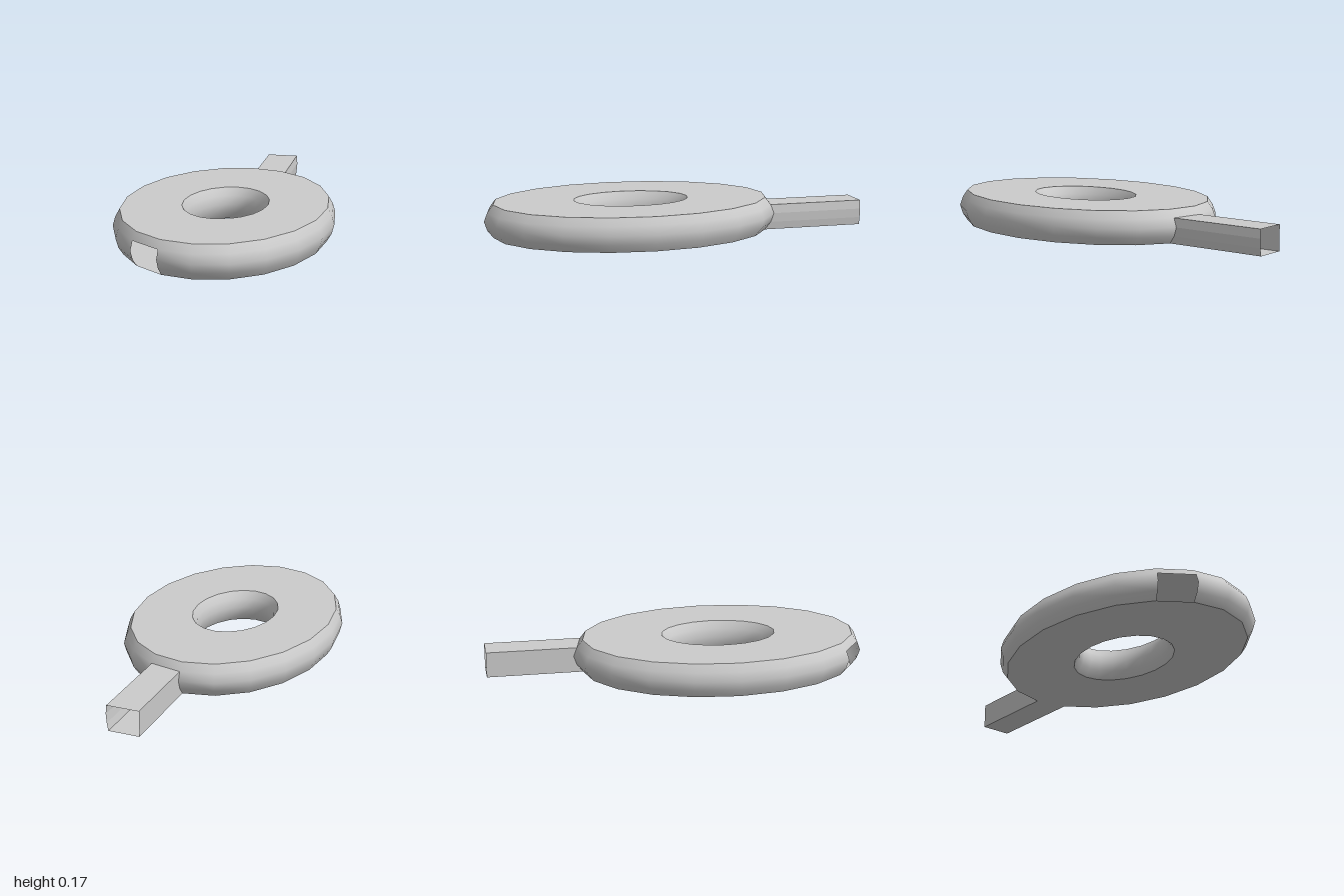
import * as THREE from 'three';

const SEGMENTS = 20;
const STRETCH = 1.378; // the ring is an ellipse, longer along z
const CENTRE_Z = 0.225;
const ROWS = [0, 0.04, 0.087, 0.133, 0.173];
const OUTER = [0.525, 0.548, 0.56, 0.547, 0.525];
const INNER = [0.22, 0.198, 0.19, 0.198, 0.22];
const OPEN_ROWS = 3; // wall rows cut away at each opening
const SPOUT_SEGMENT = 9;
const NOTCH_SEGMENT = 18;

const material = new THREE.MeshStandardMaterial({ color: 0xcccccc, side: THREE.DoubleSide });

function addPart(group, name, geometry) {
  const mesh = new THREE.Mesh(geometry, material);
  mesh.name = name;
  group.add(mesh);
}

const place = (geometry) => geometry.scale(1, 1, STRETCH).translate(0, 0, CENTRE_Z);

// Bulging wall turned from a list of radii
function wall(radii) {
  const points = radii.map((r, i) => new THREE.Vector2(r, ROWS[i]));
  return new THREE.LatheGeometry(points, SEGMENTS);
}

// Outer wall without the faces of the two openings
function outerWall() {
  const geometry = wall(OUTER);
  const rows = ROWS.length - 1;
  const kept = [...geometry.index.array].filter((_, k) => {
    const face = Math.floor(k / 6);
    const segment = Math.floor(face / rows);
    const open = segment === SPOUT_SEGMENT || segment === NOTCH_SEGMENT;
    return !(open && face % rows < OPEN_ROWS);
  });
  geometry.setIndex(kept);
  return place(geometry);
}

function innerWall() {
  const geometry = wall(INNER);
  const index = geometry.index.array;
  for (let i = 0; i < index.length; i += 3) [index[i], index[i + 1]] = [index[i + 1], index[i]];
  const normal = geometry.attributes.normal;
  for (let i = 0; i < normal.array.length; i++) normal.array[i] *= -1;
  return place(geometry);
}

// Flat face of the ring, facing up or down
function cap(y, up) {
  const geometry = new THREE.RingGeometry(INNER[0], OUTER[0], SEGMENTS);
  geometry.rotateX(up ? -Math.PI / 2 : Math.PI / 2).translate(0, y, 0);
  return place(geometry);
}

// Hollow channel drawn straight back from the edge of the rear opening
function spout() {
  const step = (Math.PI * 2) / SEGMENTS;
  const rim = (segment, row) => new THREE.Vector3(
    OUTER[row] * Math.sin(segment * step),
    ROWS[row],
    OUTER[row] * Math.cos(segment * step) * STRETCH + CENTRE_Z
  );
  const loop = [];
  for (let row = 0; row <= OPEN_ROWS; row++) loop.push(rim(SPOUT_SEGMENT + 1, row));
  for (let row = OPEN_ROWS; row >= 0; row--) loop.push(rim(SPOUT_SEGMENT, row));
  const corners = [];
  loop.forEach((a, i) => {
    const b = loop[(i + 1) % loop.length];
    const aEnd = a.clone().setZ(-1);
    const bEnd = b.clone().setZ(-1);
    corners.push(a, aEnd, b, b, aEnd, bEnd);
  });
  const geometry = new THREE.BufferGeometry().setFromPoints(corners);
  geometry.computeVertexNormals();
  return geometry;
}

export function createModel() {
  const model = new THREE.Group();
  model.name = 'ringWithSpout';
  addPart(model, 'outerWall', outerWall());
  addPart(model, 'innerWall', innerWall());
  addPart(model, 'topFace', cap(ROWS[4], true));
  addPart(model, 'bottomFace', cap(0, false));
  addPart(model, 'spout', spout());
  return model;
}
